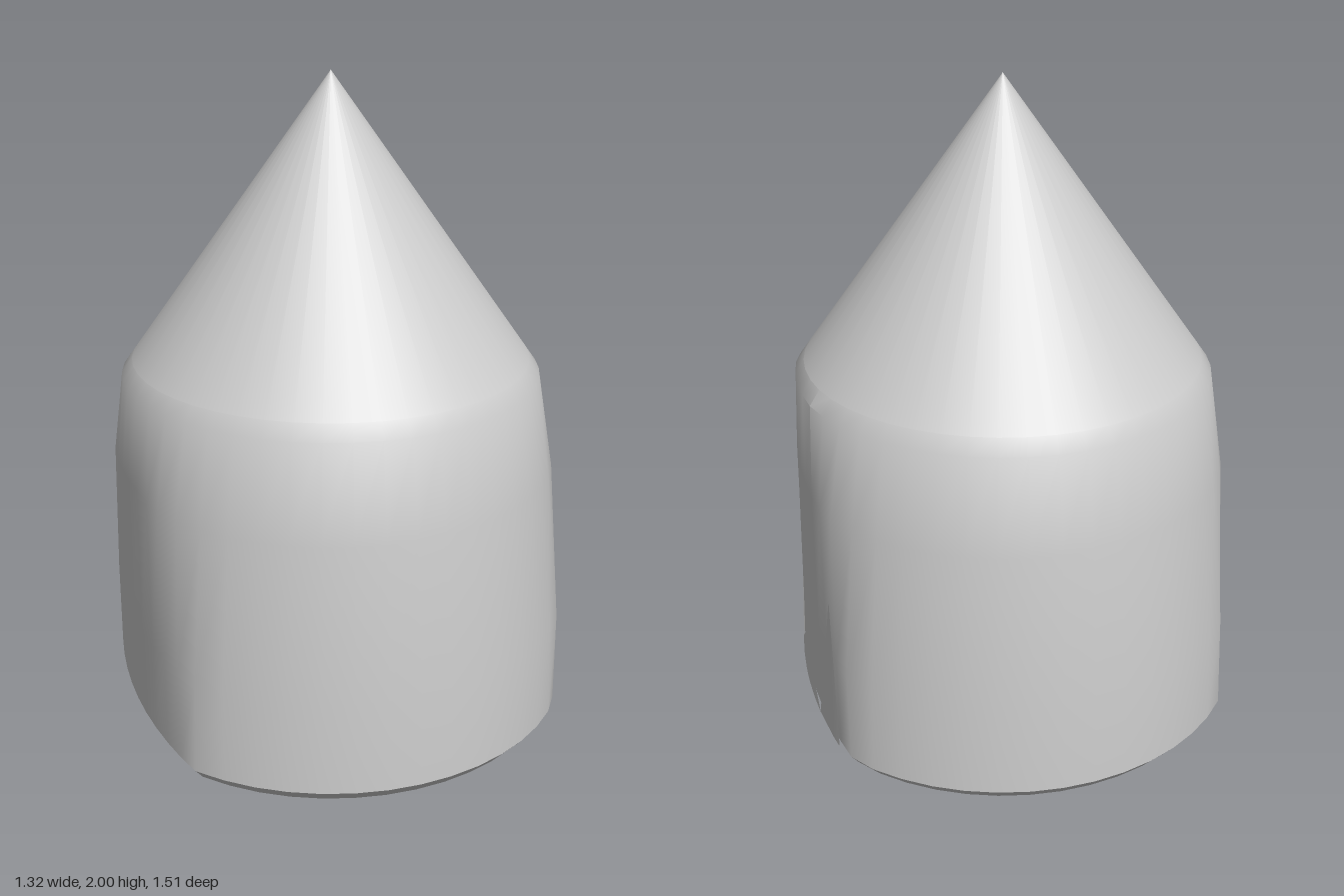
import * as THREE from 'three';
import { toCreasedNormals } from 'three/addons/utils/BufferGeometryUtils.js';

const material = new THREE.MeshStandardMaterial({ color: 0xcccccc });
const thin = new THREE.MeshStandardMaterial({ color: 0xcccccc, side: THREE.DoubleSide });

function makeMesh(name, positions, indices, mat, crease) {
  let geometry = new THREE.BufferGeometry();
  geometry.setAttribute('position', new THREE.Float32BufferAttribute(positions, 3));
  geometry.setIndex(indices);
  if (crease) geometry = toCreasedNormals(geometry, crease);
  else geometry.computeVertexNormals();
  const mesh = new THREE.Mesh(geometry, mat);
  mesh.name = name;
  return mesh;
}

// Round section whose sides are trimmed by a shallow curve
const sideX = (half, z) => half - 0.28 * z * z;

function createBody() {
  // height, radius of the round section, half width of the trimmed sides
  const levels = [
    [0, 0.72, 0.63], [0.04, 0.755, 0.66], [0.33, 0.745, 0.66],
    [0.8, 0.695, 0.655], [1.09, 0.645, 0.648], [1.143, 0.607, 0.64],
  ];
  const n = 48, positions = [], indices = [];
  for (const [y, r, half] of levels) {
    for (let i = 0; i < n; i++) {
      const a = (i / n) * Math.PI * 2;
      const x = r * Math.sin(a), z = r * Math.cos(a);
      const limit = sideX(half, z);
      positions.push(Math.max(-limit, Math.min(limit - 0.012, x)), y, z);
    }
  }
  for (let k = 0; k < levels.length - 1; k++) {
    for (let i = 0; i < n; i++) {
      const j = (i + 1) % n, a = k * n + i, b = k * n + j;
      indices.push(a, b, b + n, a, b + n, a + n);
    }
  }
  // Bottom and top caps
  const bottom = positions.length / 3, top = bottom + 1, last = (levels.length - 1) * n;
  positions.push(0, 0, 0, 0, 1.143, 0);
  for (let i = 0; i < n; i++) {
    const j = (i + 1) % n;
    indices.push(bottom, j, i, top, last + i, last + j);
  }
  return makeMesh('body', positions, indices, material, 0.62);
}

// Row of pointed flashes along the lower left side
function createFlashes() {
  const outline = [
    [0.4, 0.04], [0.37, 0.32], [0.21, 0.04], [0.13, 0.11], [0.04, 0.18], [0.015, 0.35], [0.003, 0.73],
    [-0.003, 0.73], [-0.015, 0.35], [-0.04, 0.18], [-0.13, 0.11], [-0.21, 0.04], [-0.35, 0.53], [-0.4, 0.04],
  ];
  const positions = [], indices = [];
  outline.forEach(([z, y], i) => {
    positions.push(sideX(0.661, z), 0.04, z, sideX(0.661 - 0.012 * y, z), y, z);
    if (i) {
      const a = 2 * (i - 1);
      indices.push(a, a + 2, a + 3, a, a + 3, a + 1);
    }
  });
  return makeMesh('sideFlashes', positions, indices, thin, 0);
}

export function createModel() {
  const group = new THREE.Group();
  group.name = 'pointedCapsule';

  // Conical tip resting in the rounded shoulder
  const tip = new THREE.Mesh(new THREE.ConeGeometry(0.613, 0.865, 48, 1), material);
  tip.name = 'tip';
  tip.position.y = 2 - 0.865 / 2;

  group.add(createBody(), tip, createFlashes());
  return group;
}
